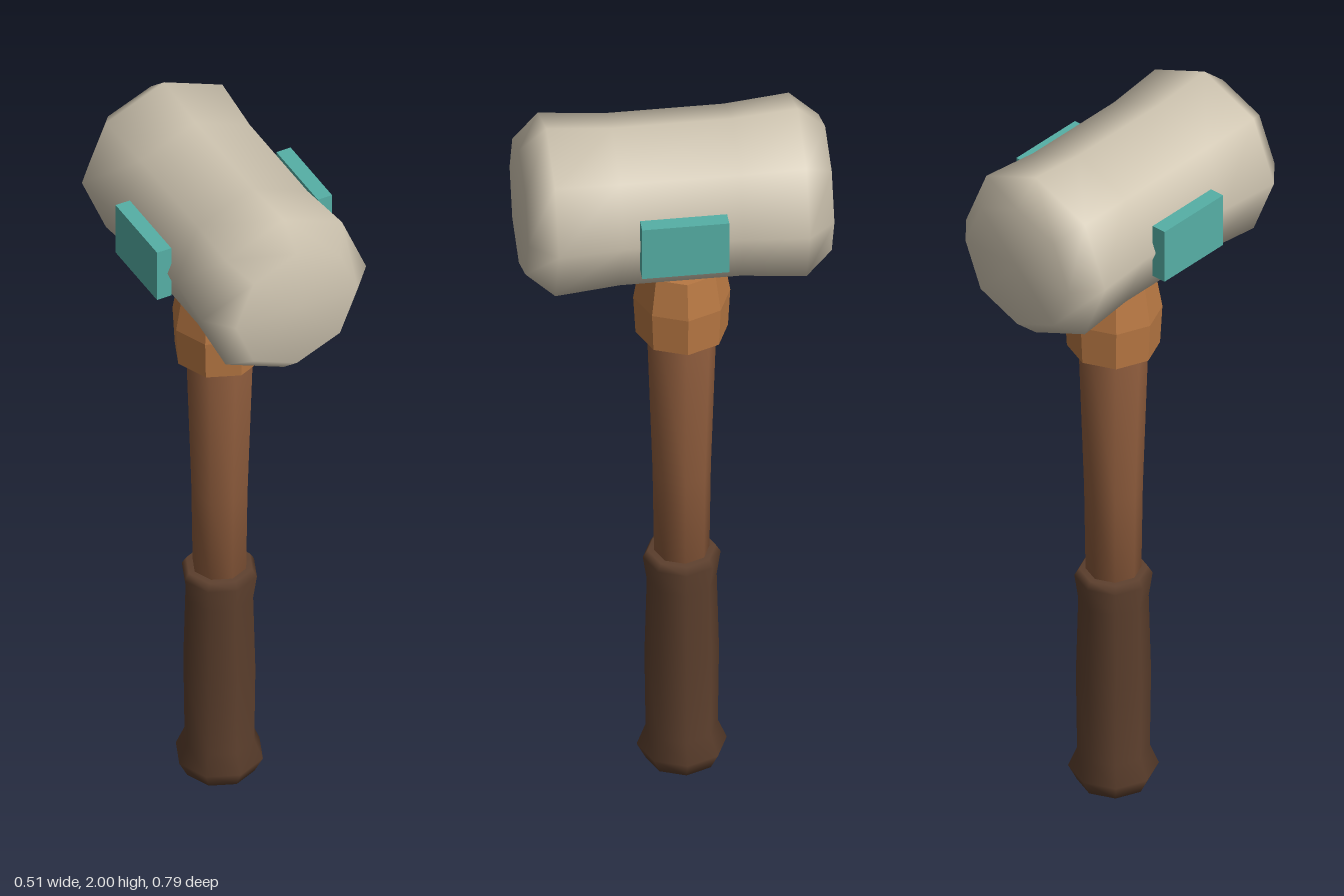
import * as THREE from 'three';

const mat = (name, color) => {
  const m = new THREE.MeshStandardMaterial({ color });
  m.name = name;
  return m;
};

// Eight-sided turned solid from [radius, height] pairs, closed on its axis
function turned(profile) {
  const pts = [[0, profile[0][1]], ...profile, [0, profile.at(-1)[1]]];
  return new THREE.LatheGeometry(pts.map(([r, h]) => new THREE.Vector2(r, h)), 8);
}

function faceted(geometry) {
  const g = geometry.toNonIndexed();
  g.computeVertexNormals();
  return g;
}

export function createModel() {
  const model = new THREE.Group();
  model.name = 'mallet';

  const stone = mat('pale stone', 0xd0c6b2);
  const wood = mat('brown wood', 0x8b5a3b);
  const lightWood = mat('light wood', 0xb87843);
  const leather = mat('dark leather', 0x5c3f2d);
  const teal = mat('teal', 0x56b0a6);

  const add = (name, geometry, material, x = 0, y = 0, z = 0) => {
    const mesh = new THREE.Mesh(geometry, material);
    mesh.name = name;
    mesh.position.set(x, y, z);
    model.add(mesh);
    return mesh;
  };

  // Handle, set slightly behind the middle of the head
  const hz = -0.025;
  add('grip', turned([
    [0.093, 0], [0.116, 0.045], [0.093, 0.1], [0.096, 0.33],
    [0.09, 0.56], [0.1, 0.63], [0.088, 0.65],
  ]), leather, 0, 0, hz);
  add('shaft', turned([[0.071, 0.62], [0.075, 0.9], [0.09, 1.36]]), wood, 0, 0, hz);
  add('collar', faceted(turned([
    [0.119, 1.34], [0.125, 1.45], [0.108, 1.552],
  ])), lightWood, 0, 0, hz);

  // Waisted head with chamfered ends, lying along z
  const head = add('head', turned([
    [0.176, -0.394], [0.238, -0.323], [0.223, -0.155],
    [0.223, 0.155], [0.238, 0.323], [0.176, 0.394],
  ]), stone, 0, 1.763, 0);
  head.rotation.x = Math.PI / 2;

  // Side plates
  for (const [name, side] of [['leftPlate', 1], ['rightPlate', -1]]) {
    add(name, new THREE.BoxGeometry(0.041, 0.153, 0.224), teal, side * 0.2325, 1.765, -0.001);
  }

  return model;
}
